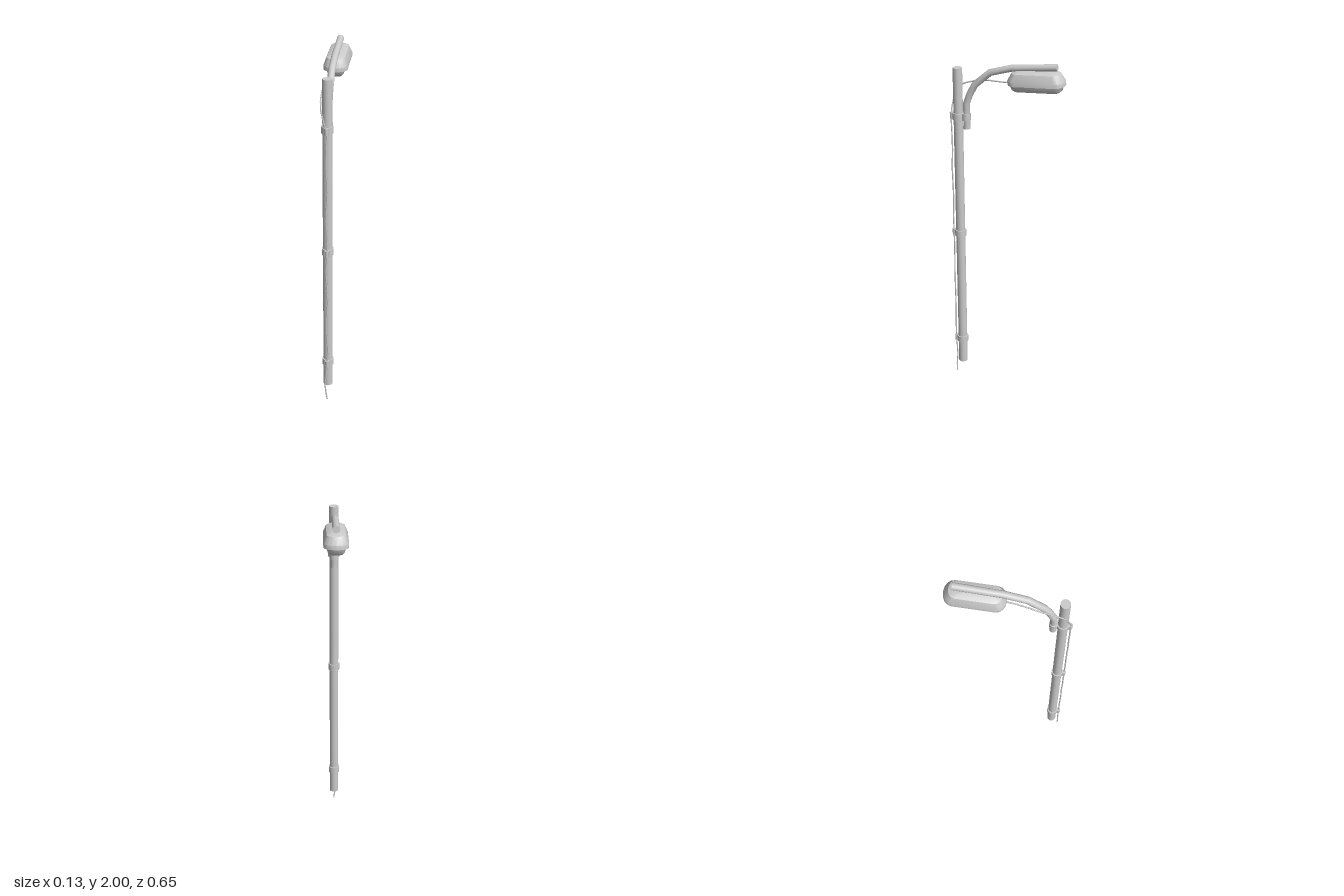
import * as THREE from 'three';
import { toCreasedNormals } from 'three/addons/utils/BufferGeometryUtils.js';

const material = new THREE.MeshStandardMaterial({ color: 0xcccccc });
const POLE_Z = 0.274, CABLE_Z = 0.314, ARM_Z = 0.225;

function part(name, geometry, x = 0, y = 0, z = 0) {
  const mesh = new THREE.Mesh(geometry, material);
  mesh.name = name;
  mesh.position.set(x, y, z);
  return mesh;
}

// Polyline whose samples fall exactly on its points, so a tube keeps its bends
class Polyline extends THREE.Curve {
  constructor(points) {
    super();
    this.points = points.map((p) => new THREE.Vector3(...p));
    this.last = points.length - 1;
  }
  getPoint(t, target = new THREE.Vector3()) {
    const f = t * this.last, i = Math.min(Math.floor(f), this.last - 1);
    return target.lerpVectors(this.points[i], this.points[i + 1], f - i);
  }
  getPointAt(u, target) { return this.getPoint(u, target); }
  getTangentAt(u, target = new THREE.Vector3()) {
    const i = Math.round(u * this.last), p = this.points;
    target.set(0, 0, 0);
    if (i > 0) target.add(p[i].clone().sub(p[i - 1]).normalize());
    if (i < this.last) target.add(p[i + 1].clone().sub(p[i]).normalize());
    return target.normalize();
  }
}

// Tube with closed ends
function cappedTube(name, points, radius, sides) {
  const group = new THREE.Group();
  group.name = name;
  const path = new Polyline(points);
  group.add(part(name + 'Tube', new THREE.TubeGeometry(path, path.last, radius, sides)));
  for (const end of [0, 1]) {
    const cap = part(name + 'Cap', new THREE.CircleGeometry(radius, sides));
    cap.position.copy(path.getPointAt(end));
    const out = path.getTangentAt(end).multiplyScalar(end ? 1 : -1);
    cap.quaternion.setFromUnitVectors(new THREE.Vector3(0, 0, 1), out);
    group.add(cap);
  }
  return group;
}

// Lamp housing: rounded oblong outlines [y, half width, half length] stacked upward
function lampGeometry() {
  const layers = [
    [-0.053, 0.034, 0.125], [-0.042, 0.043, 0.139], [-0.018, 0.05, 0.148],
    [-0.016, 0.065, 0.157], [0.006, 0.065, 0.157], [0.046, 0.049, 0.133], [0.056, 0.032, 0.108],
  ];
  const steps = 8, ring = 2 * (steps + 1), pos = [], index = [];
  for (const [y, w, l] of layers) {
    const round = w * 0.75;
    for (const end of [1, -1]) {
      for (let i = 0; i <= steps; i++) {
        const a = (i / steps) * Math.PI;
        pos.push(end * w * Math.cos(a), y, end * (l - round + round * Math.sin(a)));
      }
    }
  }
  for (let k = 0; k < layers.length - 1; k++) {
    for (let i = 0; i < ring; i++) {
      const a = k * ring + i, b = k * ring + ((i + 1) % ring);
      index.push(a, a + ring, b, b, a + ring, b + ring);
    }
  }
  // Lens below and crown above
  const bottom = pos.length / 3, top = bottom + 1, start = (layers.length - 1) * ring;
  pos.push(0, -0.054, 0, 0, 0.06, 0);
  for (let i = 0; i < ring; i++) {
    const j = (i + 1) % ring;
    index.push(bottom, i, j, top, start + j, start + i);
  }
  const g = new THREE.BufferGeometry();
  g.setAttribute('position', new THREE.Float32BufferAttribute(pos, 3));
  g.setIndex(index);
  return toCreasedNormals(g, 0.6);
}

// Band round the pole with a small lobe for the cable and, if asked, one for the arm
function clamp(y, holdsArm) {
  const group = new THREE.Group();
  group.name = 'clamp';
  const h = 0.038;
  group.add(part('poleBand', new THREE.CylinderGeometry(0.032, 0.032, h, 16), 0, y, POLE_Z));
  group.add(part('cableLobe', new THREE.CylinderGeometry(0.011, 0.011, h, 10), 0, y, CABLE_Z - 0.002));
  group.add(part('cableWeb', new THREE.BoxGeometry(0.026, h, 0.012), 0, y, POLE_Z + 0.029));
  if (holdsArm) {
    group.add(part('armLobe', new THREE.CylinderGeometry(0.024, 0.024, h, 14), 0, y, ARM_Z + 0.002));
    group.add(part('armWeb', new THREE.BoxGeometry(0.03, h, 0.03), 0, y, 0.25));
  }
  return group;
}

export function createModel() {
  const model = new THREE.Group();
  model.name = 'streetLamp';

  model.add(part('pole', new THREE.CylinderGeometry(0.026, 0.026, 1.84, 14), 0, 1.01, POLE_Z));
  for (const y of [0.246, 0.953]) model.add(clamp(y, false));
  model.add(clamp(1.658, true));

  // Curved arm
  model.add(cappedTube('arm', [
    [0, 1.59, ARM_Z], [0, 1.735, ARM_Z], [0, 1.79, 0.205], [0, 1.845, 0.175],
    [0, 1.92, 0.09], [0, 1.955, -0.03], [0, 1.981, -0.278],
  ], 0.019, 12));

  // Lamp head, tipped slightly upward at its far end
  const head = part('lampHead', lampGeometry(), 0, 1.896, -0.167);
  head.rotation.x = 0.055;
  model.add(head);

  // Loose cable up the back of the pole, round its side and into the head
  const cable = [
    [0, 0.005, CABLE_Z], [-0.006, 0.05, CABLE_Z + 0.003], [-0.014, 0.11, CABLE_Z], [-0.004, 0.2, CABLE_Z],
  ];
  for (let i = 0; i <= 14; i++) {
    cable.push([0.005 * Math.sin(i * 1.9), 0.246 + i * 0.1008, CABLE_Z + 0.001 * Math.cos(i * 2.3)]);
  }
  cable.push(
    [-0.012, 1.7, 0.314], [-0.029, 1.77, 0.304], [-0.033, 1.815, 0.285], [-0.033, 1.838, 0.245],
    [-0.031, 1.863, 0.165], [-0.02, 1.87, 0.105], [-0.008, 1.872, 0.04], [0, 1.875, -0.03],
  );
  model.add(cappedTube('cable', cable, 0.004, 6));
  return model;
}
